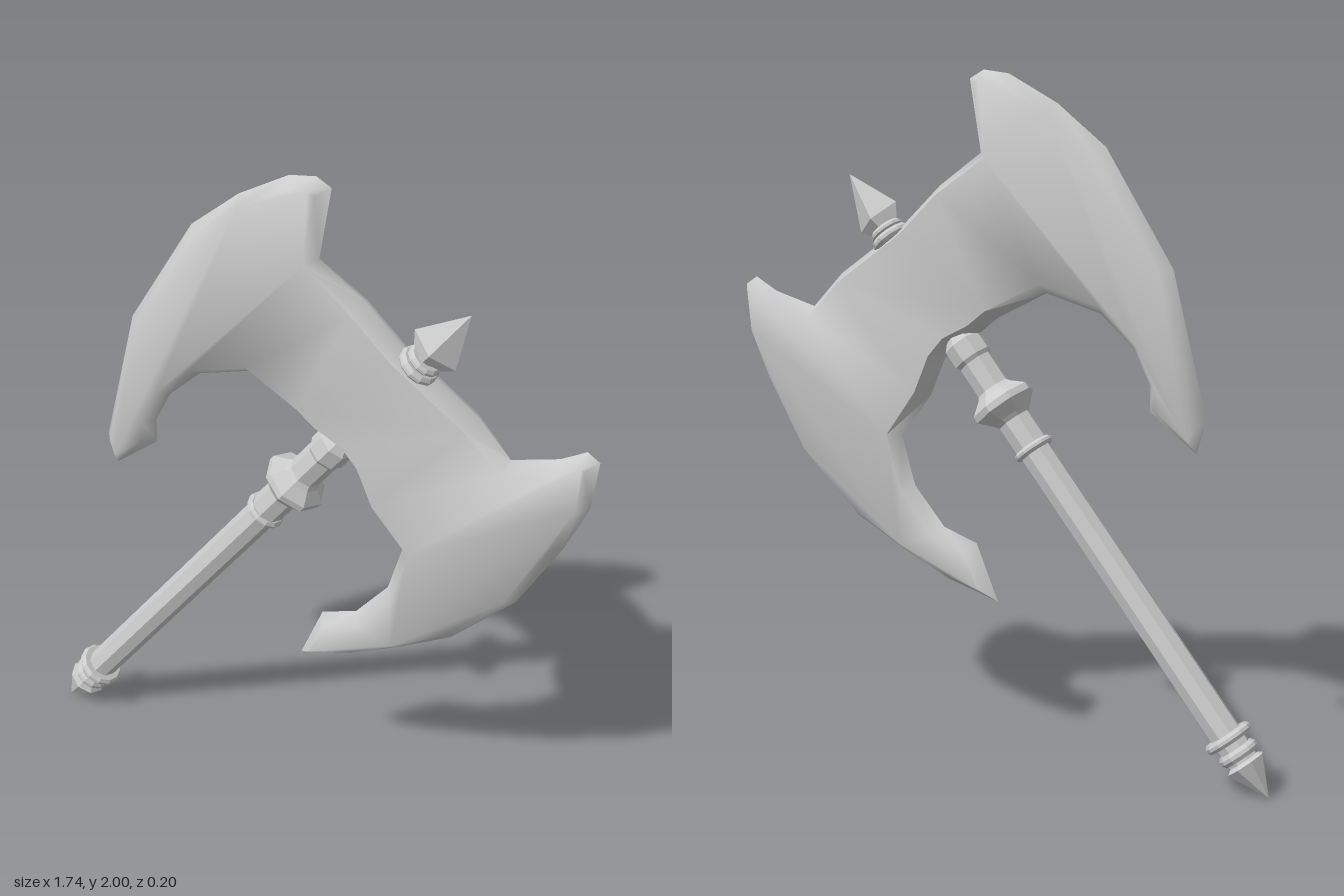
import * as THREE from 'three';
import { toCreasedNormals } from 'three/addons/utils/BufferGeometryUtils.js';

const smooth = new THREE.MeshStandardMaterial({ color: 0xcccccc });
const faceted = new THREE.MeshStandardMaterial({ color: 0xcccccc, flatShading: true });

// Axe head outline, clockwise from the top horn
const outline = [
  [0.035, 2.0], [0.08, 1.975], [0.045, 1.768], [0.18, 1.67], [0.305, 1.55], [0.52, 1.397], [0.622, 1.29],
  [0.76, 1.328], [0.833, 1.368], [0.87, 1.344], [0.855, 1.2], [0.79, 1.053], [0.664, 0.836], [0.474, 0.656],
  [0.315, 0.571], [0.156, 0.497], [-0.01, 0.45], [0.061, 0.619], [0.172, 0.656], [0.272, 0.772], [0.315, 0.92],
  [0.214, 1.053], [0.167, 1.164], [0.125, 1.212], [0.045, 1.254], [-0.013, 1.3], [-0.167, 1.38], [-0.336, 1.333],
  [-0.437, 1.243], [-0.49, 1.143], [-0.49, 1.069], [-0.632, 0.963], [-0.659, 1.058], [-0.553, 1.47],
  [-0.347, 1.794], [-0.198, 1.91], [-0.045, 1.99],
].map(([x, y]) => new THREE.Vector2(x, y));

// Mitred inset of the outline for the bevelled rim
function inset(points, amount) {
  const n = points.length;
  return points.map((p, i) => {
    const a = p.clone().sub(points[(i + n - 1) % n]).normalize();
    const b = points[(i + 1) % n].clone().sub(p).normalize();
    const na = new THREE.Vector2(a.y, -a.x), nb = new THREE.Vector2(b.y, -b.x);
    const m = na.clone().add(nb).normalize();
    return p.clone().addScaledVector(m, amount / Math.max(0.45, m.dot(na)));
  });
}

// Thick around the haft, thinner on the two blades
function halfThickness(p) {
  const across = Math.abs((p.x - 0.288) * 0.779 - (p.y - 1.455) * 0.627);
  return THREE.MathUtils.lerp(0.057, 0.042, THREE.MathUtils.smoothstep(across, 0.2, 0.37));
}

function headGeometry() {
  const n = outline.length, inner = inset(outline, 0.028), pos = [], tris = [];
  outline.forEach((p) => pos.push(p.x, p.y, 0));
  for (const s of [1, -1]) inner.forEach((p) => pos.push(p.x, p.y, s * halfThickness(p)));

  // Bevelled rim on both sides
  for (let i = 0; i < n; i++) {
    const j = (i + 1) % n;
    tris.push(i, n + i, j, j, n + i, n + j);
    tris.push(i, j, 2 * n + i, j, 2 * n + j, 2 * n + i);
  }

  // Faces: two blades, two tapering shoulders and the middle
  const range = (a, b) => Array.from({ length: b - a + 1 }, (_, i) => (a + i) % n);
  const regions = [
    range(26, n + 2), [2, 3, 25, 26], [...range(3, 5), ...range(21, 25)], [5, 6, 20, 21], range(6, 20),
  ];
  for (const ids of regions) {
    const pts = ids.map((i) => inner[i]);
    for (const f of THREE.ShapeUtils.triangulateShape(pts, [])) {
      const [p, q, r] = f.map((k) => pts[k]);
      let [a, b, c] = f.map((k) => ids[k]);
      if ((q.x - p.x) * (r.y - p.y) - (q.y - p.y) * (r.x - p.x) < 0) [b, c] = [c, b];
      tris.push(n + a, n + b, n + c, 2 * n + a, 2 * n + c, 2 * n + b);
    }
  }
  const g = new THREE.BufferGeometry();
  g.setAttribute('position', new THREE.Float32BufferAttribute(pos, 3));
  g.setIndex(tris);
  return toCreasedNormals(g, 1.1);
}

// Turned part from [radius, height] pairs, listed bottom to top
function turned(name, profile, sides = 8) {
  const g = new THREE.LatheGeometry(profile.map(([r, y]) => new THREE.Vector2(r, y)), sides);
  const mesh = new THREE.Mesh(g, faceted);
  mesh.name = name;
  return mesh;
}

function ring(name, y, r, h, sides = 12) {
  return turned(name, [[0.03, y - h], [r - 0.008, y - h], [r, y - h / 3], [r, y + h / 3], [r - 0.008, y + h], [0.03, y + h]], sides);
}

export function createModel() {
  const model = new THREE.Group();

  const head = new THREE.Mesh(headGeometry(), smooth);
  head.name = 'doubleBladeHead';
  model.add(head);

  // Everything turned around the haft axis, starting at the pommel tip
  const haft = new THREE.Group();
  haft.name = 'haft';
  haft.position.set(-0.872, 0.002, 0);
  haft.rotation.z = -Math.atan2(0.627, 0.779);
  model.add(haft);

  haft.add(
    turned('pommelSpike', [[0, 0], [0.062, 0.115], [0.045, 0.125]]),
    turned('shaft', [[0.045, 0.11], [0.048, 0.2], [0.048, 1.19]]),
    ring('pommelRingLower', 0.15, 0.06, 0.016),
    ring('pommelRingUpper', 0.2, 0.073, 0.014),
    ring('gripRing', 1.187, 0.062, 0.012),
    turned('upperShaft', [[0.052, 1.19], [0.052, 1.5]]),
    turned('collar', [[0.05, 1.285], [0.062, 1.3], [0.098, 1.335], [0.098, 1.355], [0.062, 1.385], [0.05, 1.4]]),
    turned('shaftCap', [[0.05, 1.49], [0.06, 1.505], [0.06, 1.56], [0.03, 1.595], [0, 1.6]]),
    ring('spikeRingLower', 1.94, 0.063, 0.014),
    ring('spikeRingUpper', 1.965, 0.053, 0.012),
  );

  // Flattened four-sided top spike
  const spike = turned('topSpike', [[0.045, 1.95], [0.05, 1.975], [0.078, 2.012], [0, 2.17]], 4);
  spike.scale.z = 0.57;
  haft.add(spike);

  return model;
}
